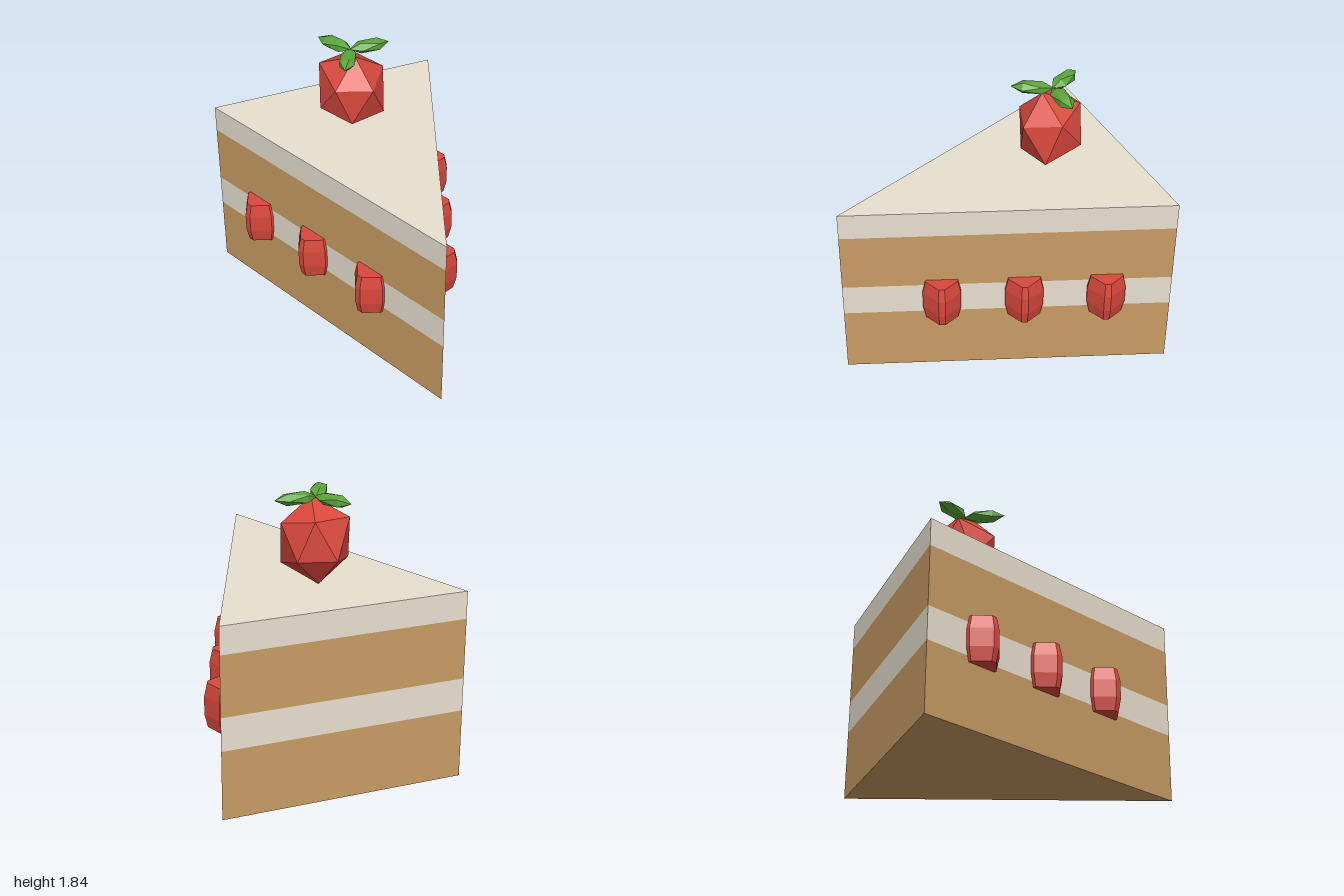
import * as THREE from 'three';
import { ConvexGeometry } from 'three/addons/geometries/ConvexGeometry.js';

const paint = (color) => new THREE.MeshStandardMaterial({ color, flatShading: true });
const v = (x, y, z) => new THREE.Vector3(x, y, z);

function addMesh(parent, name, geometry, material) {
  const mesh = new THREE.Mesh(geometry, material);
  mesh.name = name;
  parent.add(mesh);
  return mesh;
}

// Triangular slab with its point towards the front
function wedgeLayer(bottom, top) {
  const shape = new THREE.Shape([
    new THREE.Vector2(-0.8, 1), new THREE.Vector2(0, -1), new THREE.Vector2(0.8, 1),
  ]);
  return new THREE.ExtrudeGeometry(shape, { depth: top - bottom, bevelEnabled: false })
    .rotateX(-Math.PI / 2).translate(0, bottom, 0);
}

// Upright block with cut corners, narrowing at top and bottom
function fruitChunk() {
  const points = [];
  for (const [y, s] of [[-0.15, 0.84], [-0.06, 1], [0.06, 1], [0.15, 0.84]]) {
    for (const a of [-1, 1]) for (const b of [-1, 1]) {
      points.push(v(a * 0.104 * s, y, b * 0.073 * s), v(a * 0.073 * s, y, b * 0.104 * s));
    }
  }
  return new ConvexGeometry(points);
}

// Tilted, stretched twenty-sided berry: six corners and their opposites
function berry() {
  const half = [
    v(0, 0.267, 0.065), v(0.06, 0.08, 0.225), v(0.215, 0.125, 0.025),
    v(0.07, 0.17, -0.175), v(-0.18, 0.163, -0.12), v(-0.17, 0.085, 0.14),
  ];
  return new ConvexGeometry([...half, ...half.map((p) => p.clone().negate())]);
}

// Twenty-sided leaf, drawn out to a point along x
function leafShape() {
  const t = (1 + Math.sqrt(5)) / 2;
  return new THREE.IcosahedronGeometry(1, 0)
    .rotateY(Math.atan2(1, t)).scale(0.14, 0.043, 0.06).translate(0.13, 0, 0);
}

export function createModel() {
  const model = new THREE.Group();
  model.name = 'cakeSlice';
  const sponge = paint(0xc89c64);
  const cream = paint(0xe8e0d0);
  const red = paint(0xd8483c);
  const green = paint(0x5ca53a);

  // Cake layers
  addMesh(model, 'lowerSponge', wedgeLayer(0, 0.46), sponge);
  addMesh(model, 'creamFilling', wedgeLayer(0.46, 0.68), cream);
  addMesh(model, 'upperSponge', wedgeLayer(0.68, 1.08), sponge);
  addMesh(model, 'creamTopping', wedgeLayer(1.08, 1.262), cream);

  // Fruit pieces along both cut sides
  const chunk = fruitChunk();
  for (const side of [1, -1]) {
    for (const z of [0.4, -0.1, -0.6]) {
      const piece = addMesh(model, side > 0 ? 'leftFruitPiece' : 'rightFruitPiece', chunk, red);
      piece.position.set(side * (0.4 - 0.4 * z), 0.57, z);
      piece.rotation.y = side * Math.atan(0.4);
    }
  }

  // Berry with three leaves on top
  addMesh(model, 'berry', berry(), red).position.set(0, 1.527, -0.485);
  const leaf = leafShape();
  for (let i = 0; i < 3; i++) {
    const mesh = addMesh(model, 'leaf', leaf, green);
    mesh.position.set(0, 1.808, -0.495);
    mesh.rotation.y = (i * Math.PI * 2) / 3;
  }
  return model;
}
